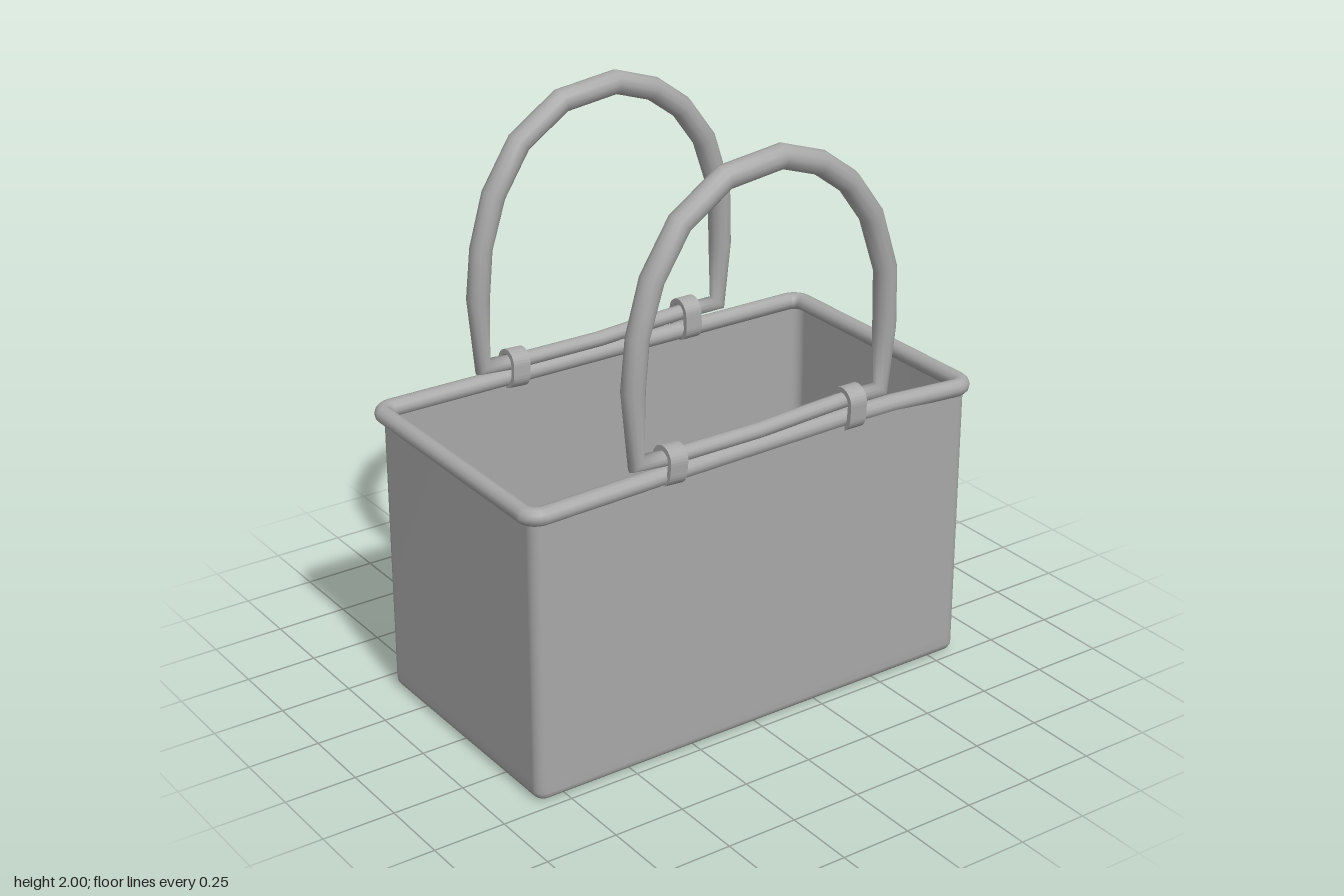
import * as THREE from 'three';

const grey = new THREE.MeshStandardMaterial({ color: 0xa8a8a8 });
grey.name = 'grey';
const greyShell = new THREE.MeshStandardMaterial({ color: 0xa8a8a8, side: THREE.DoubleSide });
greyShell.name = 'grey shell';

const V = (x, y, z) => new THREE.Vector3(x, y, z);

// Indexed surface from equal rows of points, each row closed on itself
function loft(rows, closeRows, flip) {
  const n = rows[0].length, index = [];
  const last = closeRows ? rows.length : rows.length - 1;
  for (let i = 0; i < last; i++) {
    const k = (i + 1) % rows.length;
    for (let j = 0; j < n; j++) {
      const a = i * n + j, b = i * n + (j + 1) % n, c = k * n + j, d = k * n + (j + 1) % n;
      if (flip) index.push(a, c, b, b, c, d);
      else index.push(a, b, c, b, d, c);
    }
  }
  const g = new THREE.BufferGeometry().setFromPoints(rows.flat());
  g.setIndex(index);
  g.computeVertexNormals();
  return g;
}

// Closed mitred tube along a polyline lying roughly in the plane of the given normal
function loopTube(points, radii, normal, sides = 12) {
  const n = points.length;
  const rows = points.map((p, i) => {
    const t0 = p.clone().sub(points[(i + n - 1) % n]).normalize();
    const t1 = points[(i + 1) % n].clone().sub(p).normalize();
    const miter = 1 / Math.sqrt(Math.max(0.4, (1 + t0.dot(t1)) / 2));
    const side = t0.add(t1).normalize().cross(normal).normalize();
    return Array.from({ length: sides }, (_, j) => {
      const a = j / sides * Math.PI * 2;
      return p.clone().addScaledVector(normal, Math.cos(a) * radii[i])
        .addScaledVector(side, Math.sin(a) * radii[i] * miter);
    });
  });
  return loft(rows, true, false);
}

// Rounded rectangle in plan, starting at the front right-hand corner of the plan
function roundedRect(x0, x1, z0, z1, r, y, steps = 5) {
  const out = [];
  [[x1 - r, z1 - r], [x0 + r, z1 - r], [x0 + r, z0 + r], [x1 - r, z0 + r]].forEach(([cx, cz], q) => {
    for (let i = 0; i <= steps; i++) {
      const a = (q + i / steps) * Math.PI / 2;
      out.push(V(cx + Math.cos(a) * r, y, cz + Math.sin(a) * r));
    }
  });
  return out;
}

// Open tub with rounded vertical and bottom edges
function makeBody() {
  const level = (inset, y) => roundedRect(-0.855 + inset, 0.855 - inset, -0.45 + inset, 0.475 - inset,
    Math.max(0.04 - inset, 0.008), y);
  const rows = [level(0, 0).map(() => V(0, 0.002, 0.01)), level(0.06, 0.002)];
  for (let i = 0; i <= 4; i++) {
    const a = i / 4 * Math.PI / 2;
    rows.push(level(0.032 * (1 - Math.sin(a)), 0.002 + 0.032 * (1 - Math.cos(a))));
  }
  rows.push(level(0, 0.07), level(0, 1.0));
  return new THREE.Mesh(loft(rows, false, true), greyShell);
}

// Slightly uneven rolled rim, pulled in and up where the front handle is tied
function makeRim() {
  const pts = roundedRect(-0.855, 0.855, -0.457, 0.466, 0.045, 1.006);
  pts.forEach(p => { if (p.x < 0 && p.z < 0) p.y = 1.015; });
  pts.splice(6, 0, V(0.55, 1.016, 0.452), V(0.36, 1.018, 0.452), V(-0.35, 1.012, 0.458));
  return new THREE.Mesh(loopTube(pts, pts.map(() => 0.03), V(0, 1, 0)), grey);
}

// Hooped handle with a thinner bar along its foot: x, y, radius
const HANDLE = [
  [-0.462, 1.075, 0.026], [-0.472, 1.32, 0.039], [-0.455, 1.49, 0.038], [-0.402, 1.665, 0.04],
  [-0.3, 1.825, 0.04], [-0.135, 1.935, 0.04], [0.077, 1.96, 0.04], [0.225, 1.91, 0.04],
  [0.34, 1.825, 0.04], [0.435, 1.695, 0.04], [0.5, 1.5, 0.039], [0.505, 1.3, 0.039],
  [0.495, 1.08, 0.026], [0.36, 1.08, 0.026], [0.2, 1.073, 0.026], [0, 1.062, 0.026], [-0.34, 1.064, 0.026],
];
function makeHandle(z) {
  const pts = HANDLE.map(([x, y]) => V(x, y, z));
  return new THREE.Mesh(loopTube(pts, HANDLE.map(h => h[2]), V(0, 0, 1)), grey);
}

// Pill-shaped band around the rim and the handle bar
function pill(path, w, h) {
  const r = w / 2, c = h / 2 - r;
  path.absarc(0, c, r, 0, Math.PI, false);
  path.absarc(0, -c, r, Math.PI, Math.PI * 2, false);
  path.closePath();
  return path;
}
function makeStrap(x, y, z, height, tilt, lean) {
  const shape = pill(new THREE.Shape(), 0.1, height);
  shape.holes.push(pill(new THREE.Path(), 0.066, height - 0.034));
  const g = new THREE.ExtrudeGeometry(shape, { depth: 0.065, bevelEnabled: false, curveSegments: 8 });
  g.translate(0, 0, -0.0325).rotateY(Math.PI / 2);
  const strap = new THREE.Mesh(g, grey);
  strap.position.set(x, y, z);
  strap.rotation.set(lean, 0, tilt);
  return strap;
}

export function createModel() {
  const model = new THREE.Group();
  model.name = 'basket';
  const add = (mesh, name) => { mesh.name = name; model.add(mesh); };
  add(makeBody(), 'body');
  add(makeRim(), 'rim');
  for (const s of [1, -1]) {
    const end = s > 0 ? 'front' : 'back';
    add(makeHandle(s * 0.45), end + 'Handle');
    add(makeStrap(-0.338, 1.042, s * 0.453, 0.135, -0.06, s * 0.06), end + 'RightStrap');
    add(makeStrap(0.365, 1.052, s * 0.455, 0.15, 0, s * 0.06), end + 'LeftStrap');
  }
  return model;
}
